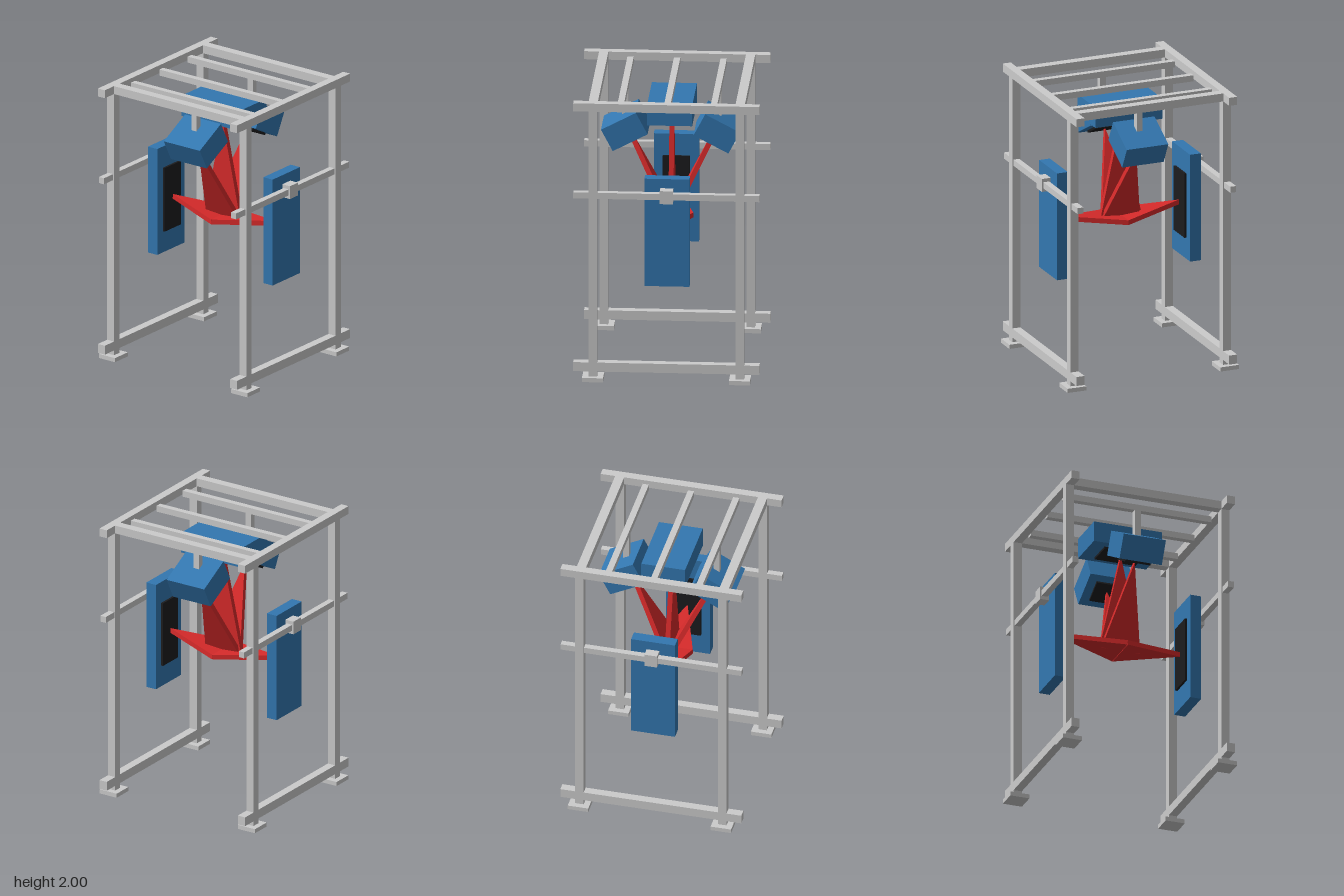
import * as THREE from 'three';

export function createModel() {
  const model = new THREE.Group();
  const grey = new THREE.MeshStandardMaterial({ color: 0xcccccc });
  const blue = new THREE.MeshStandardMaterial({ color: 0x3377b0 });
  const black = new THREE.MeshStandardMaterial({ color: 0x1c1c1e });
  const red = new THREE.MeshStandardMaterial({ color: 0xd62a2a });

  const box = (name, size, pos, material = grey, parent = model) => {
    const mesh = new THREE.Mesh(new THREE.BoxGeometry(...size), material);
    mesh.name = name;
    mesh.position.set(...pos);
    parent.add(mesh);
    return mesh;
  };

  // Front and back frames: posts, feet, cross bars and the panel clamp
  for (const s of [1, -1]) {
    const z = 0.57 * s;
    for (const x of [-0.505, 0.505]) {
      box('post', [0.06, 1.93, 0.06], [x, 0.99, z]);
      box('foot', [0.145, 0.03, 0.14], [x, 0.015, z]);
    }
    box('topBar', [1.28, 0.058, 0.06], [0, 1.971, z]);
    box('bottomBar', [1.28, 0.065, 0.06], [0, 0.0975, z]);
    box('middleBar', [1.28, 0.044, 0.044], [0, 1.332, z]);
    box('clamp', [0.09, 0.094, 0.066], [0, 1.332, z]);
  }

  // Roof rails, with hangers on the outer thin rails
  for (const x of [-0.505, 0.505]) box('sideRail', [0.064, 0.058, 1.08], [x, 1.971, 0]);
  for (const x of [-0.32, 0, 0.32]) box('thinRail', [0.044, 0.044, 1.08], [x, 1.947, 0]);
  for (const x of [-0.32, 0.32]) box('hanger', [0.044, 0.22, 0.044], [x, 1.815, 0]);

  // Panel unit: blue housing with a dark window on its local underside
  const panelUnit = (name, [w, h, d], pos, rotation) => {
    const unit = new THREE.Group();
    unit.name = name;
    box('housing', [w, h, d], [0, 0, 0], blue, unit);
    box('window', [w * 0.6, 0.016, d * 0.6], [0, -h / 2 - 0.008, 0], black, unit);
    unit.position.set(...pos);
    unit.rotation.set(...rotation);
    model.add(unit);
  };
  panelUnit('topPanel', [0.31, 0.147, 0.5], [0, 1.809, 0], [0, 0, 0]);
  for (const s of [1, -1]) {
    panelUnit('sidePanel', [0.271, 0.173, 0.31], [0.318 * s, 1.652, 0], [0, 0, -0.485 * s]);
    panelUnit('uprightPanel', [0.31, 0.08, 0.775], [0, 1.0575, 0.497 * s], [Math.PI / 2 * s, 0, 0]);
  }

  // Fan beam: flat triangle with its tip at the window, widening to the centre
  const centre = new THREE.Vector3(0, 1.012, 0);
  const fanBeam = (name, tip, halfWidth, widthAxis) => {
    const start = new THREE.Vector3(...tip);
    const along = centre.clone().sub(start);
    const length = along.length();
    along.normalize();
    const shape = new THREE.Shape([
      new THREE.Vector2(0, 0),
      new THREE.Vector2(halfWidth, length),
      new THREE.Vector2(-halfWidth, length),
    ]);
    const thickness = 0.034;
    const geometry = new THREE.ExtrudeGeometry(shape, { depth: thickness, bevelEnabled: false });
    geometry.translate(0, 0, -thickness / 2);
    const across = new THREE.Vector3(...widthAxis);
    const normal = across.clone().cross(along);
    geometry.applyMatrix4(new THREE.Matrix4().makeBasis(across, along, normal).setPosition(start));
    const mesh = new THREE.Mesh(geometry, red);
    mesh.name = name;
    model.add(mesh);
  };
  fanBeam('topBeam', [0, 1.72, 0], 0.155, [0, 0, 1]);
  for (const s of [1, -1]) {
    fanBeam('sideBeam', [0.27 * s, 1.562, 0], 0.142, [0, 0, 1]);
    fanBeam('uprightPanelBeam', [0, 1.0575, 0.443 * s], 0.147, [1, 0, 0]);
  }

  return model;
}
